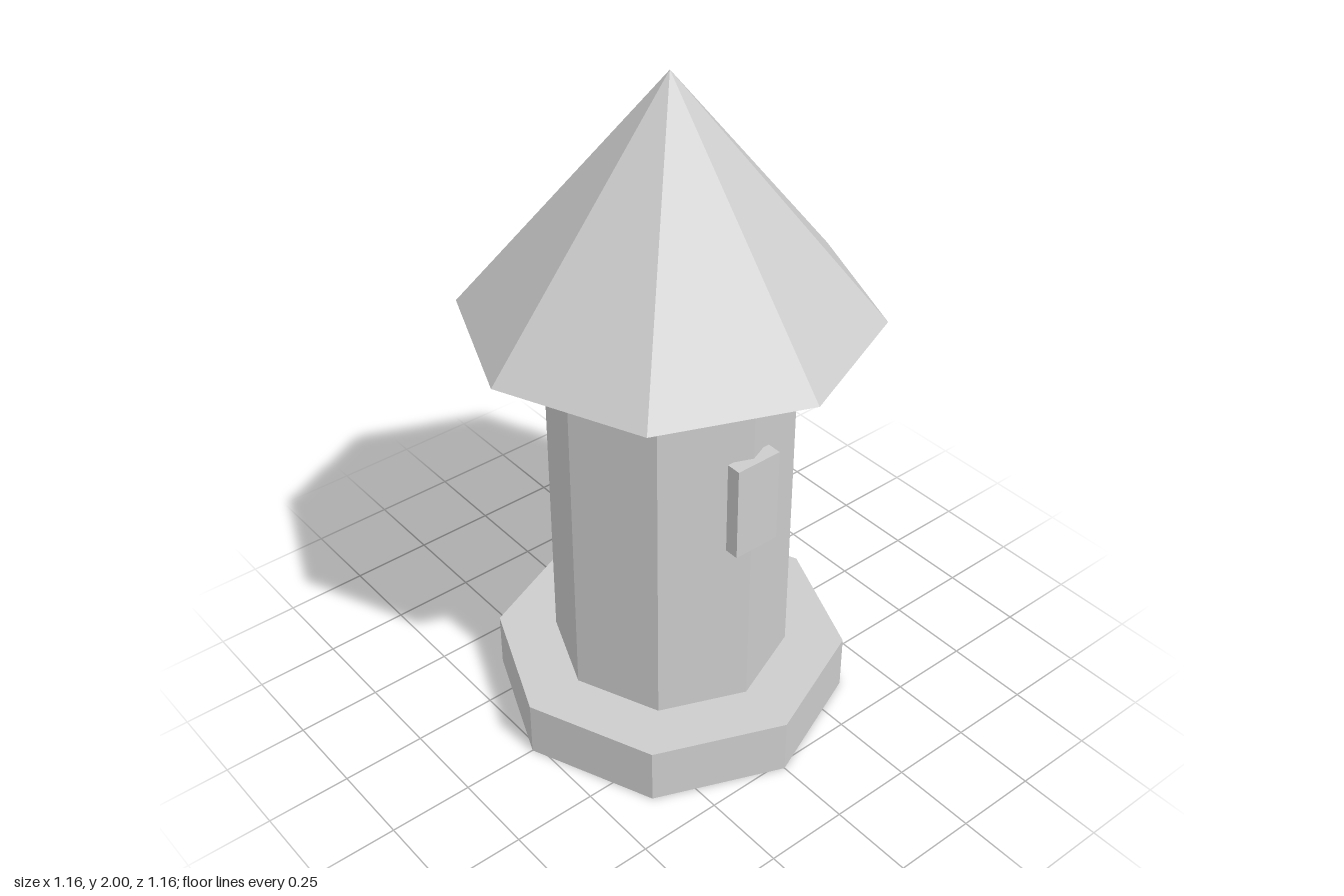
import * as THREE from 'three';

export function createModel() {
  const model = new THREE.Group();
  model.name = 'tower';
  const stone = new THREE.MeshStandardMaterial({ color: 0xcccccc });
  stone.name = 'pale grey stone';

  const add = (name, geometry, y, z = 0) => {
    // Unshared corners give each facet its own flat normal
    const flat = geometry.toNonIndexed();
    flat.computeVertexNormals();
    const mesh = new THREE.Mesh(flat, stone);
    mesh.name = name;
    mesh.position.set(0, y, z);
    model.add(mesh);
  };

  // Eight-sided drum standing between two heights, one corner facing the front
  const drum = (name, topRadius, bottomRadius, y0, y1) =>
    add(name, new THREE.CylinderGeometry(topRadius, bottomRadius, y1 - y0, 8), (y0 + y1) / 2);

  drum('base', 0.522, 0.522, 0, 0.175);
  drum('shaft', 0.348, 0.348, 0.175, 1.308);

  // Pointed roof with overhanging eaves
  add('roof', new THREE.ConeGeometry(0.578, 0.692, 8), 1.654);

  // Window block set into the front corner
  add('window', new THREE.BoxGeometry(0.144, 0.288, 0.043), 0.874, 0.348);

  return model;
}
